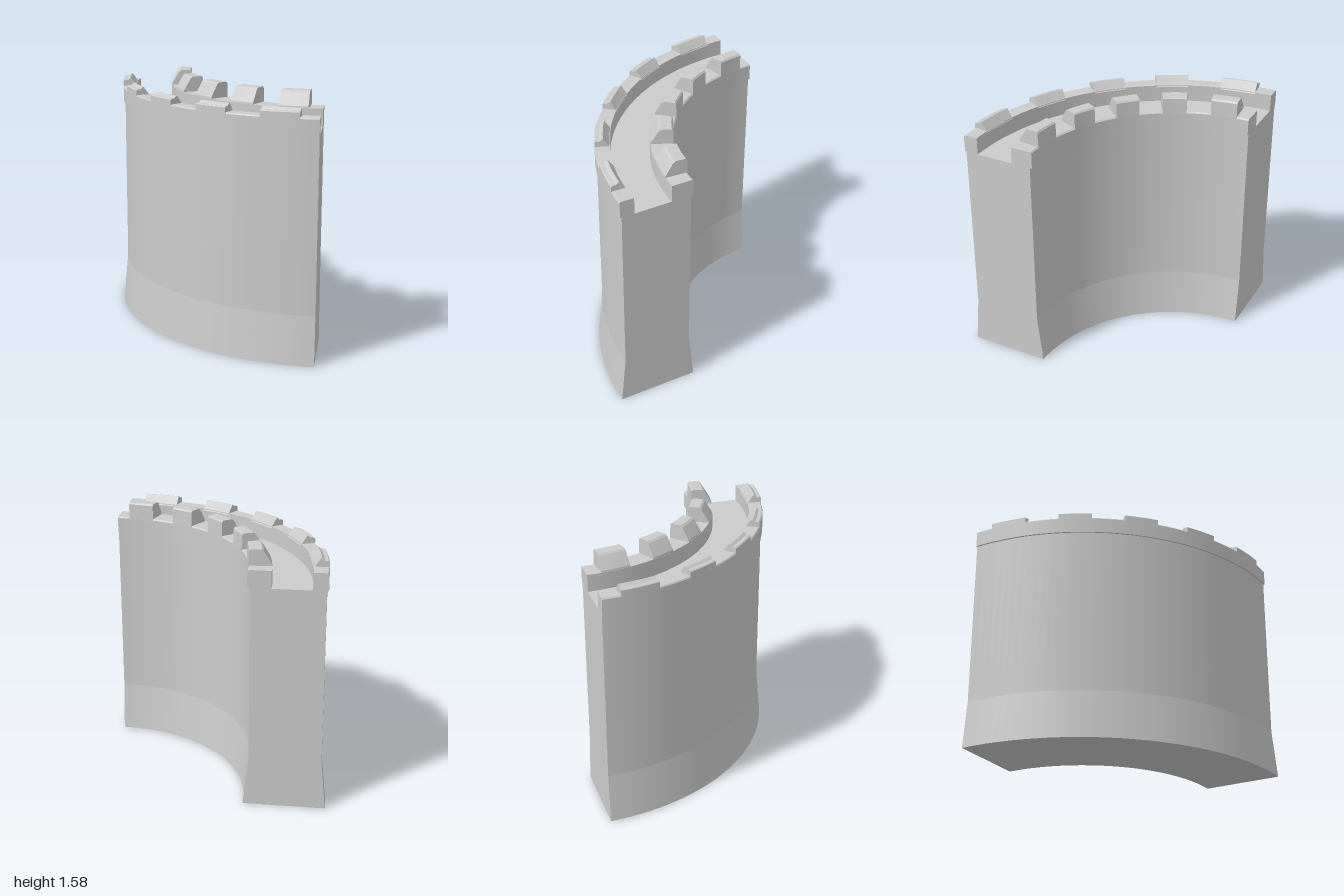
import * as THREE from 'three';
import { toCreasedNormals } from 'three/addons/utils/BufferGeometryUtils.js';

const CENTRE_Z = -1.034; // centre of the quarter-circle plan
const material = new THREE.MeshStandardMaterial({ color: 0xcccccc });

// Sweep a [radius, height] cross-section around the plan centre, angles in degrees from +z
function arcSweep(name, profile, fromDeg, toDeg) {
  const from = THREE.MathUtils.degToRad(fromDeg);
  const to = THREE.MathUtils.degToRad(toDeg);
  const shape = new THREE.Shape(profile.map(([r, y]) => new THREE.Vector2(r, y)));
  const geometry = new THREE.ExtrudeGeometry(shape, {
    depth: to - from,
    steps: Math.max(4, Math.round((toDeg - fromDeg) / 2)),
    bevelEnabled: false,
  });
  const p = geometry.attributes.position;
  for (let i = 0; i < p.count; i++) {
    const r = p.getX(i);
    const a = to - p.getZ(i);
    p.setXYZ(i, r * Math.sin(a), p.getY(i), r * Math.cos(a) + CENTRE_Z);
  }
  const mesh = new THREE.Mesh(toCreasedNormals(geometry, 0.06), material);
  mesh.name = name;
  return mesh;
}

export function createModel() {
  const group = new THREE.Group();
  group.name = 'curvedCastleWall';

  // Wall with flared foot; its top is the walkway
  group.add(arcSweep('wall', [
    [0.919, 0], [1.414, 0], [1.385, 0.305], [1.385, 1.375], [0.953, 1.375], [0.953, 0.305],
  ], -45, 45));

  // Parapets, overhanging the wall slightly on both faces
  group.add(arcSweep('outerParapet', [
    [1.307, 1.375], [1.395, 1.375], [1.395, 1.472], [1.389, 1.48], [1.307, 1.48],
  ], -45, 45));
  group.add(arcSweep('innerParapet', [
    [0.939, 1.375], [1.075, 1.375], [1.075, 1.48], [0.947, 1.48], [0.939, 1.472],
  ], -45, 45));

  // Merlons: low ridged ones outside, taller ones with a sloped front inside
  const outerMerlon = [
    [1.303, 1.47], [1.395, 1.47], [1.395, 1.508], [1.388, 1.514],
    [1.368, 1.514], [1.352, 1.528], [1.345, 1.528],
  ];
  const innerMerlon = [
    [0.939, 1.47], [1.075, 1.47], [1.072, 1.49], [1.026, 1.565],
    [1.014, 1.575], [0.95, 1.575], [0.942, 1.565],
  ];
  const spans = [[-4.4, 4.4]];
  for (const [a, b] of [[13.1, 21.8], [30.7, 40.4]]) spans.push([a, b], [-b, -a]);
  for (const [a, b] of spans) {
    group.add(arcSweep('outerMerlon', outerMerlon, a, b));
    group.add(arcSweep('innerMerlon', innerMerlon, a, b));
  }
  return group;
}
